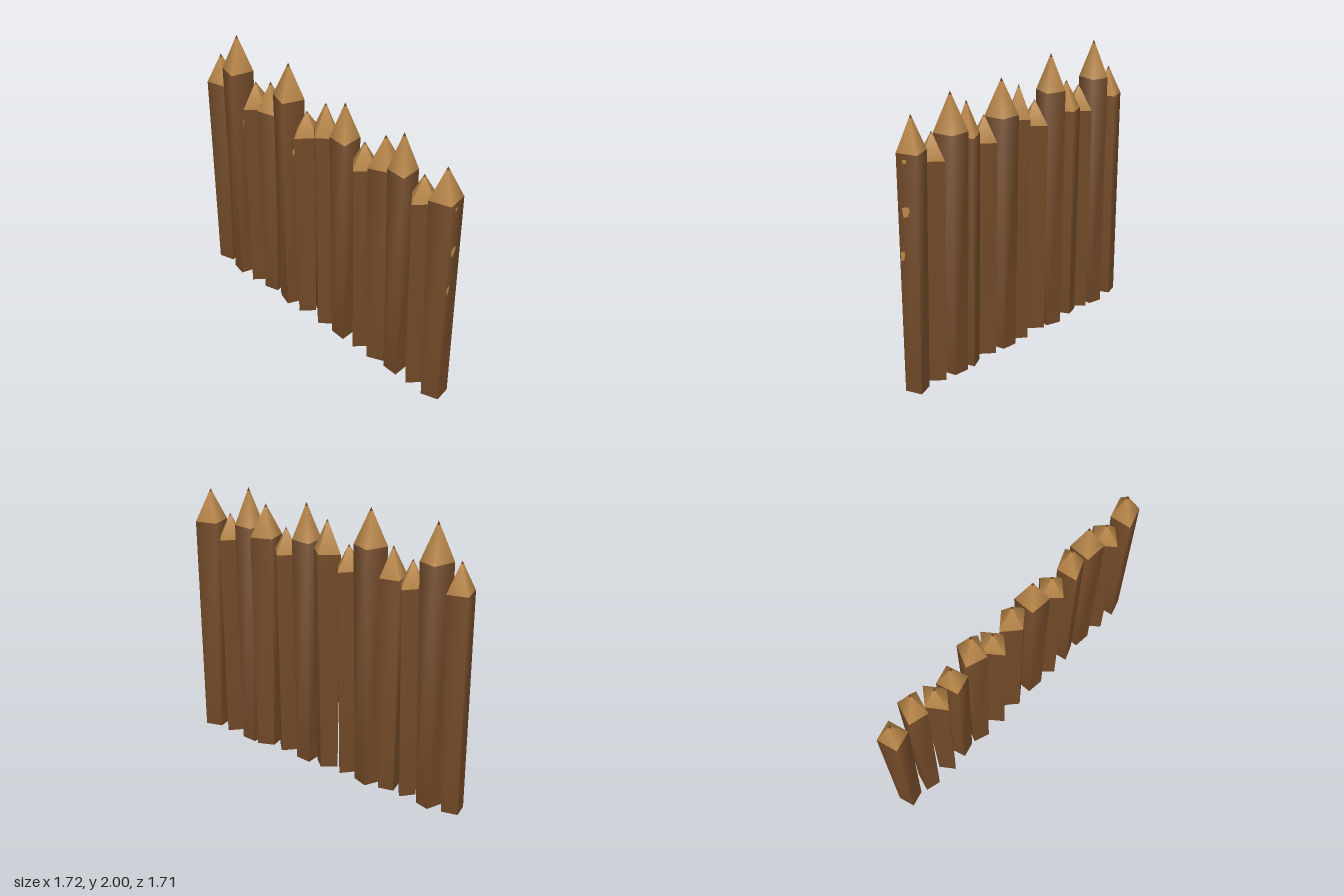
import * as THREE from 'three';

// Each stake: x, z, peak height, shoulder height, width, depth, angle of width edge, angle of depth edge
const STAKES = [
  [-0.765, -0.755, 1.78, 1.57, 0.145, 0.148, 29, 30],
  [-0.635, -0.62, 2.0, 1.73, 0.165, 0.138, -28, -32],
  [-0.505, -0.49, 1.71, 1.53, 0.147, 0.155, -6, 8],
  [-0.395, -0.385, 1.77, 1.56, 0.138, 0.158, 29, 28],
  [-0.265, -0.255, 1.99, 1.73, 0.16, 0.15, -22, -27],
  [-0.14, -0.125, 1.7, 1.53, 0.15, 0.152, -5, 6],
  [-0.01, 0.0, 1.84, 1.61, 0.15, 0.154, 5, -5],
  [0.117, 0.13, 1.92, 1.66, 0.154, 0.152, -49, -41],
  [0.245, 0.26, 1.71, 1.53, 0.145, 0.148, -4, 0],
  [0.375, 0.385, 1.84, 1.61, 0.156, 0.147, 21, 33],
  [0.485, 0.495, 1.93, 1.66, 0.152, 0.15, -49, -42],
  [0.613, 0.625, 1.71, 1.53, 0.147, 0.147, -4, 4],
  [0.743, 0.755, 1.855, 1.62, 0.156, 0.15, 26, 34],
];

// Bare patches in the bark: stake, side, position across, height, patch width, patch height
const CHIPS = [
  [1, 1, 0.5, 1.33, 0.022, 0.06],
  [4, 1, 0.48, 1.33, 0.018, 0.05],
  [12, 2, 0.4, 1.245, 0.06, 0.075],
  [12, 2, 0.16, 0.95, 0.036, 0.07],
  [12, 2, 0.4, 1.57, 0.035, 0.03],
];

const TAPER = 0.8; // foot size relative to shoulder
const rad = THREE.MathUtils.degToRad;

// Triangles from corner lists, each corner being [position, normal]
function facesGeometry(polygons) {
  const pos = [], nor = [];
  for (const p of polygons) {
    for (let i = 1; i < p.length - 1; i++) {
      for (const [v, n] of [p[0], p[i], p[i + 1]]) {
        pos.push(v.x, v.y, v.z);
        nor.push(n.x, n.y, n.z);
      }
    }
  }
  const g = new THREE.BufferGeometry();
  g.setAttribute('position', new THREE.Float32BufferAttribute(pos, 3));
  g.setAttribute('normal', new THREE.Float32BufferAttribute(nor, 3));
  return g;
}

const faceNormal = (a, b, c) =>
  b.clone().sub(a).cross(c.clone().sub(a)).normalize();

function stakeFrame([x, z, peak, shoulder, w, d, a, b]) {
  const u = new THREE.Vector3(Math.cos(rad(a)), 0, Math.sin(rad(a))).multiplyScalar(w / 2);
  const v = new THREE.Vector3(-Math.sin(rad(b)), 0, Math.cos(rad(b))).multiplyScalar(d / 2);
  const offsets = [[-1, -1], [-1, 1], [1, 1], [1, -1]].map(([s, t]) =>
    u.clone().multiplyScalar(s).addScaledVector(v, t));
  const foot = (2 - peak) * 0.1;
  const ring = (scale, y) => offsets.map((o) =>
    new THREE.Vector3(x + o.x * scale, y, z + o.z * scale));
  return { offsets, foot, ring, shoulder, peak, apex: new THREE.Vector3(x, peak, z) };
}

export function createModel() {
  const bark = new THREE.MeshStandardMaterial({ name: 'bark', color: 0x6e4726 });
  const wood = new THREE.MeshStandardMaterial({ name: 'cutWood', color: 0xbd8a4c });
  const model = new THREE.Group();
  model.name = 'palisade';

  const frames = STAKES.map(stakeFrame);
  const groups = frames.map((f) => {
    const stake = new THREE.Group();
    stake.name = 'stake';
    model.add(stake);
    const low = f.ring(TAPER, f.foot), top = f.ring(1, f.shoulder);
    const capScale = 0.1;
    const cap = f.ring(capScale, f.peak - (f.peak - f.shoulder) * capScale);
    // Shading is crisp at foot and tip and rounds off towards the shoulder
    const soft = f.offsets.map((o) => o.clone().normalize().setY(0.3).normalize());
    const down = new THREE.Vector3(0, -1, 0);
    const body = [[3, 2, 1, 0].map((i) => [low[i], down])];
    const point = [], tip = [];
    for (let i = 0; i < 4; i++) {
      const j = (i + 1) % 4;
      const side = faceNormal(low[i], low[j], top[j]);
      const slope = faceNormal(top[i], top[j], f.apex);
      body.push([[low[i], side], [low[j], side], [top[j], soft[j]], [top[i], soft[i]]]);
      point.push([[top[i], soft[i]], [top[j], soft[j]], [cap[j], slope], [cap[i], slope]]);
      tip.push([[cap[i], slope], [cap[j], slope], [f.apex, slope]]);
    }
    for (const [name, polys, mat] of [['stakeBody', body, bark], ['sharpenedPoint', point, wood], ['darkTip', tip, bark]]) {
      const mesh = new THREE.Mesh(facesGeometry(polys), mat);
      mesh.name = name;
      stake.add(mesh);
    }
    return stake;
  });

  // Ragged bare patches lying just above the bark
  for (const [index, side, t, y, w, h] of CHIPS) {
    const f = frames[index];
    const k = (y - f.foot) / (f.shoulder - f.foot);
    const r = f.ring(TAPER + (1 - TAPER) * k, y);
    const top = f.ring(1, f.shoulder);
    const a = r[side], b = r[(side + 1) % 4];
    const n = faceNormal(a, b, top[(side + 1) % 4]);
    const across = b.clone().sub(a).normalize();
    const up = n.clone().cross(across);
    const centre = a.clone().lerp(b, t).addScaledVector(n, 0.002);
    const outline = [[-0.3, -0.5], [0.2, -0.35], [0.5, 0.2], [0.3, 0.5], [-0.5, 0.35], [-0.25, 0]];
    const corners = outline.map(([s, q]) =>
      [centre.clone().addScaledVector(across, s * w).addScaledVector(up, q * h), n]);
    const chip = new THREE.Mesh(facesGeometry([corners]), wood);
    chip.name = 'barePatch';
    groups[index].add(chip);
  }
  return model;
}
